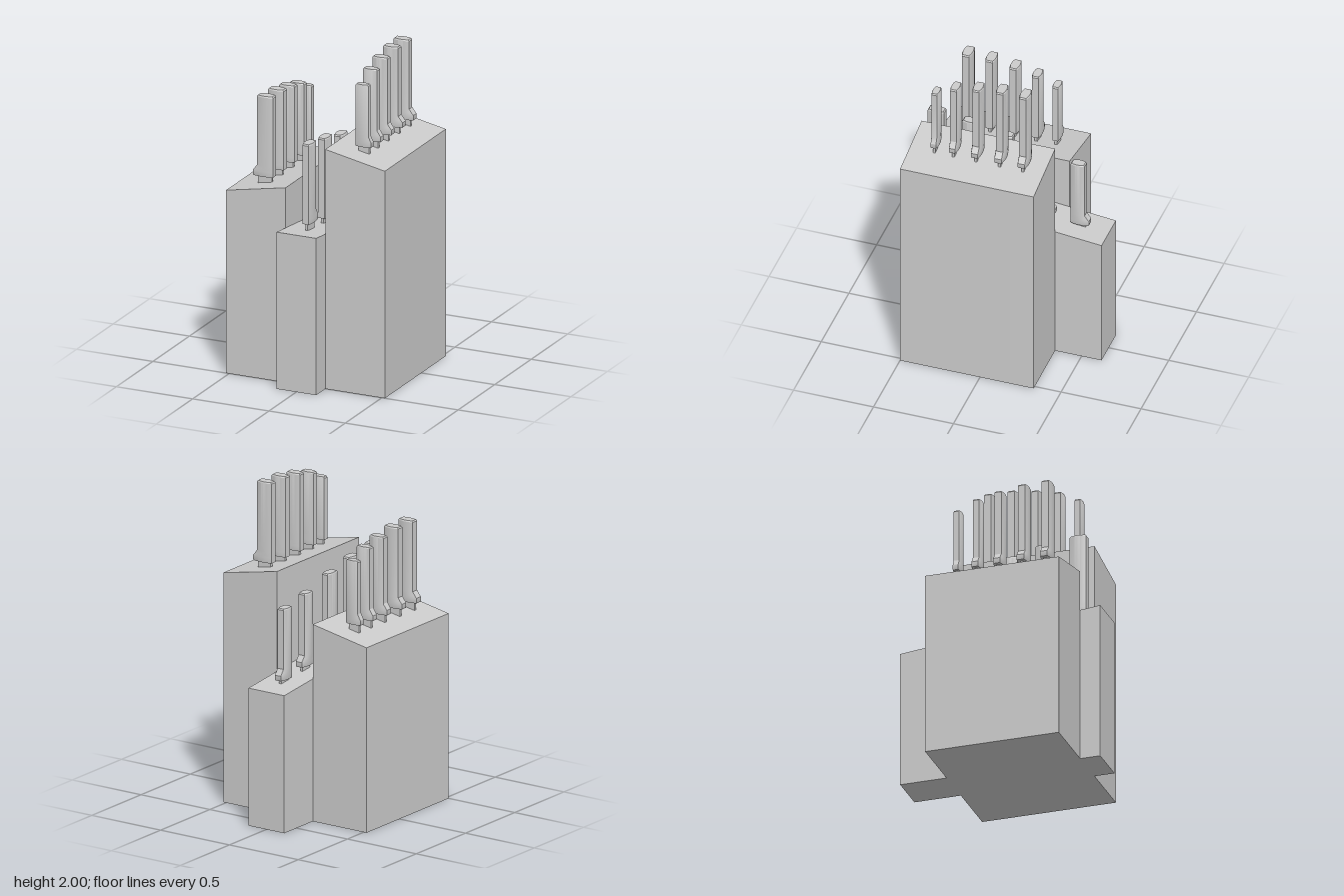
import * as THREE from 'three';
import { toCreasedNormals } from 'three/addons/utils/BufferGeometryUtils.js';

const material = new THREE.MeshStandardMaterial({ color: 0xcccccc });

function addMesh(parent, name, geometry) {
  const mesh = new THREE.Mesh(geometry, material);
  mesh.name = name;
  parent.add(mesh);
  return mesh;
}

// Upright block whose top follows topY(x, z)
function blockGeometry(x0, x1, z0, z1, topY) {
  const geo = new THREE.BoxGeometry(x1 - x0, 1, z1 - z0);
  geo.translate((x0 + x1) / 2, 0.5, (z0 + z1) / 2);
  const p = geo.attributes.position;
  for (let i = 0; i < p.count; i++) {
    if (p.getY(i) > 0.5) p.setY(i, topY(p.getX(i), p.getZ(i)));
  }
  geo.computeVertexNormals();
  return geo;
}

// Handle lofted from barrel-shaped sections; the heel points to +x.
// spine and grip bound the shaft, heel is the furthest reach, half is half the thickness.
function handleGeometry(spine, grip, heel, half, length) {
  const STEPS = 6;
  const levels = [ // height, low x, high x, thickness factor
    [0, spine, heel - 0.002, 0.96],
    [0.006, spine, heel, 1],
    [0.032, spine, heel, 1],
    [0.045, spine, heel - (heel - grip) * 0.4, 1],
    [0.068, spine, grip, 1],
    [length - 0.008, spine, grip, 1],
    [length, spine + 0.006, grip - 0.006, 0.88],
  ];
  const positions = [], indices = [];
  const ring = 2 * (STEPS + 1);
  for (const [y, low, high, factor] of levels) {
    for (const side of [1, -1]) {
      for (let i = 0; i <= STEPS; i++) {
        const t = (i / STEPS) * 2 - 1;
        const bulge = half * factor * (1 - 0.32 * t * t);
        positions.push((low + high) / 2 + side * t * (high - low) / 2, y, side * bulge);
      }
    }
  }
  for (let l = 0; l < levels.length - 1; l++) {
    for (let i = 0; i < ring; i++) {
      const a = l * ring + i, b = l * ring + (i + 1) % ring;
      indices.push(a, b, b + ring, a, b + ring, a + ring);
    }
  }
  // End caps
  const top = (levels.length - 1) * ring;
  for (let i = 1; i < ring - 1; i++) {
    indices.push(0, i + 1, i, top, top + i, top + i + 1);
  }
  const geo = new THREE.BufferGeometry();
  geo.setAttribute('position', new THREE.Float32BufferAttribute(positions, 3));
  geo.setIndex(indices);
  return toCreasedNormals(geo, 0.45);
}

// One knife: handle plus the bit of blade that sinks into the block
function makeKnife({ spine, grip, heel, half, length }) {
  const knife = new THREE.Group();
  knife.name = 'knife';
  addMesh(knife, 'handle', handleGeometry(spine, grip, heel, half, length));
  const blade = new THREE.BoxGeometry(grip - spine - 0.012, 0.14, 0.016);
  addMesh(knife, 'blade', blade).position.set((spine + grip) / 2 + 0.008, -0.065, 0);
  return knife;
}

export function createModel() {
  const model = new THREE.Group();
  model.name = 'knifeBlock';

  // Three joined blocks with sloping tops
  addMesh(model, 'tallBlock', blockGeometry(0.13, 0.52, -0.335, 0.5,
    (x) => 1.5 - (x - 0.13) * 0.2));
  addMesh(model, 'mediumBlock', blockGeometry(-0.52, -0.13, -0.335, 0.5,
    (x) => 1.22 + (x + 0.13) * 0.19));
  addMesh(model, 'lowBlock', blockGeometry(-0.13, 0.13, -0.625, 0.625,
    (x, z) => 0.917 + z * 0.104));

  // Tall row: z, spine, grip, heel, half thickness, top
  const tallRow = [
    [0.347, 0.263, 0.346, 0.364, 0.024, 1.89],
    [0.227, 0.254, 0.347, 0.371, 0.028, 1.95],
    [0.086, 0.25, 0.348, 0.375, 0.031, 1.98],
    [-0.062, 0.248, 0.349, 0.377, 0.032, 2],
    [-0.208, 0.247, 0.35, 0.378, 0.032, 2],
  ];
  for (const [z, spine, grip, heel, half, top] of tallRow) {
    const knife = makeKnife({ spine, grip, heel, half, length: top - 1.5 });
    knife.position.set(0, 1.5, z);
    model.add(knife);
  }

  // Medium row, turned so the heels face -x
  const mediumRow = [
    [0.364, 0.268, 0.372, 0.399, 0.033, 1.73],
    [0.217, 0.268, 0.371, 0.398, 0.033, 1.726],
    [0.068, 0.27, 0.369, 0.395, 0.031, 1.705],
    [-0.07, 0.274, 0.367, 0.391, 0.029, 1.675],
    [-0.192, 0.283, 0.366, 0.385, 0.025, 1.62],
  ];
  for (const [z, spine, grip, heel, half, top] of mediumRow) {
    const knife = makeKnife({ spine, grip, heel, half, length: top - 1.225 });
    knife.rotation.y = Math.PI;
    knife.position.set(0, 1.225, z);
    model.add(knife);
  }

  // Low row, heels to the back: front z, overall depth, base, length
  const lowRow = [
    [0.5, 0.13, 1.01, 0.5],
    [0.284, 0.13, 0.98, 0.5],
    [0.069, 0.128, 0.953, 0.48],
    [-0.18, 0.114, 0.92, 0.45],
    [-0.394, 0.114, 0.89, 0.44],
  ];
  for (const [front, depth, base, length] of lowRow) {
    const knife = makeKnife({ spine: 0, grip: depth - 0.027, heel: depth, half: 0.031, length });
    knife.rotation.y = Math.PI / 2;
    knife.position.set(0, base, front);
    model.add(knife);
  }
  return model;
}
